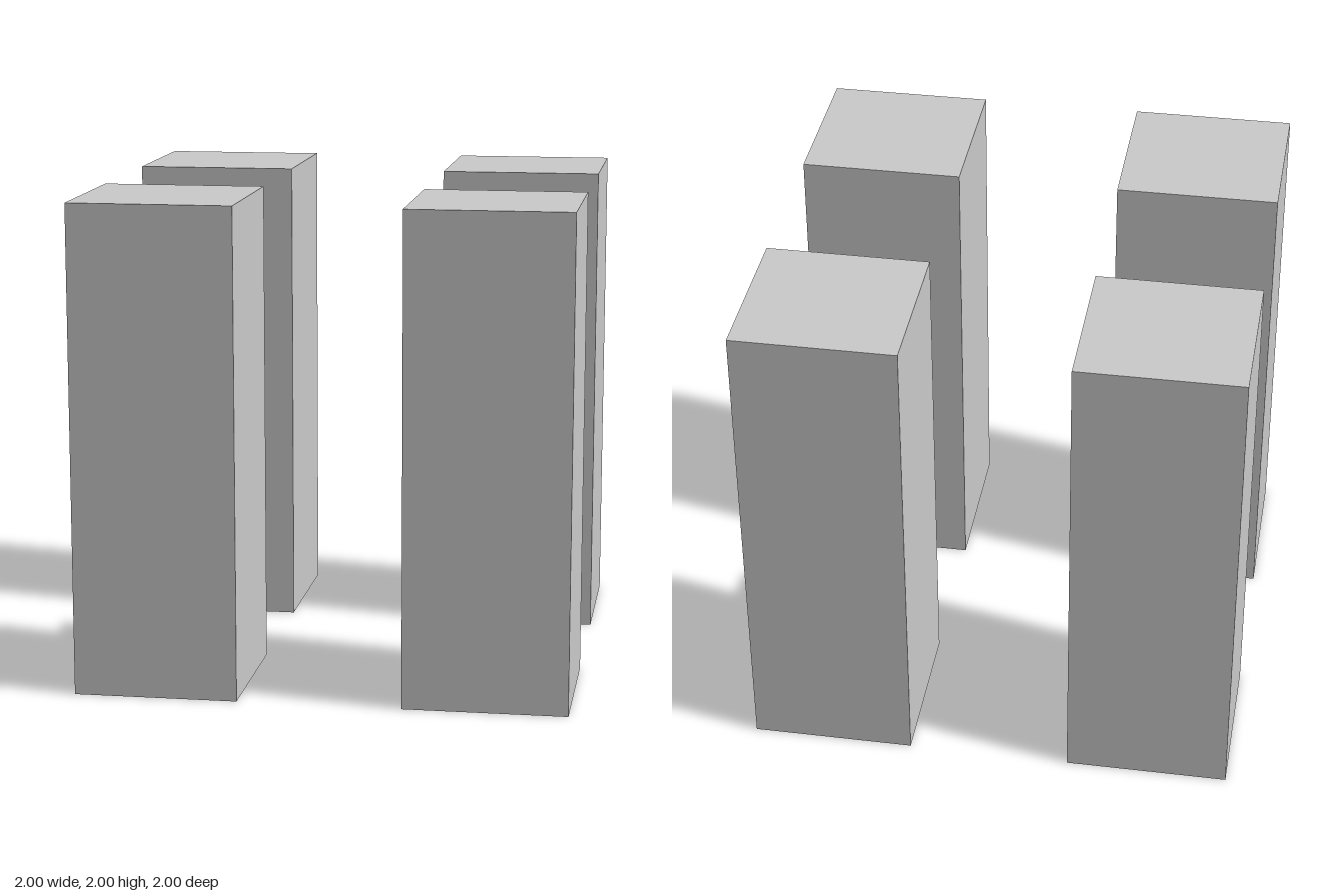
import * as THREE from 'three';

export function createModel() {
  const model = new THREE.Group();
  model.name = 'fourPillars';

  const width = 2 / 3;
  const height = 2;
  const offset = 1 - width / 2; // pillar centre, outer faces at 1
  const geometry = new THREE.BoxGeometry(width, height, width);
  const material = new THREE.MeshStandardMaterial({ color: 0xcccccc });

  // One square pillar in each corner
  for (const [sideName, sx] of [['Left', 1], ['Right', -1]]) {
    for (const [endName, sz] of [['front', 1], ['back', -1]]) {
      const pillar = new THREE.Mesh(geometry, material);
      pillar.name = `${endName}${sideName}Pillar`;
      pillar.position.set(sx * offset, height / 2, sz * offset);
      model.add(pillar);
    }
  }
  return model;
}
